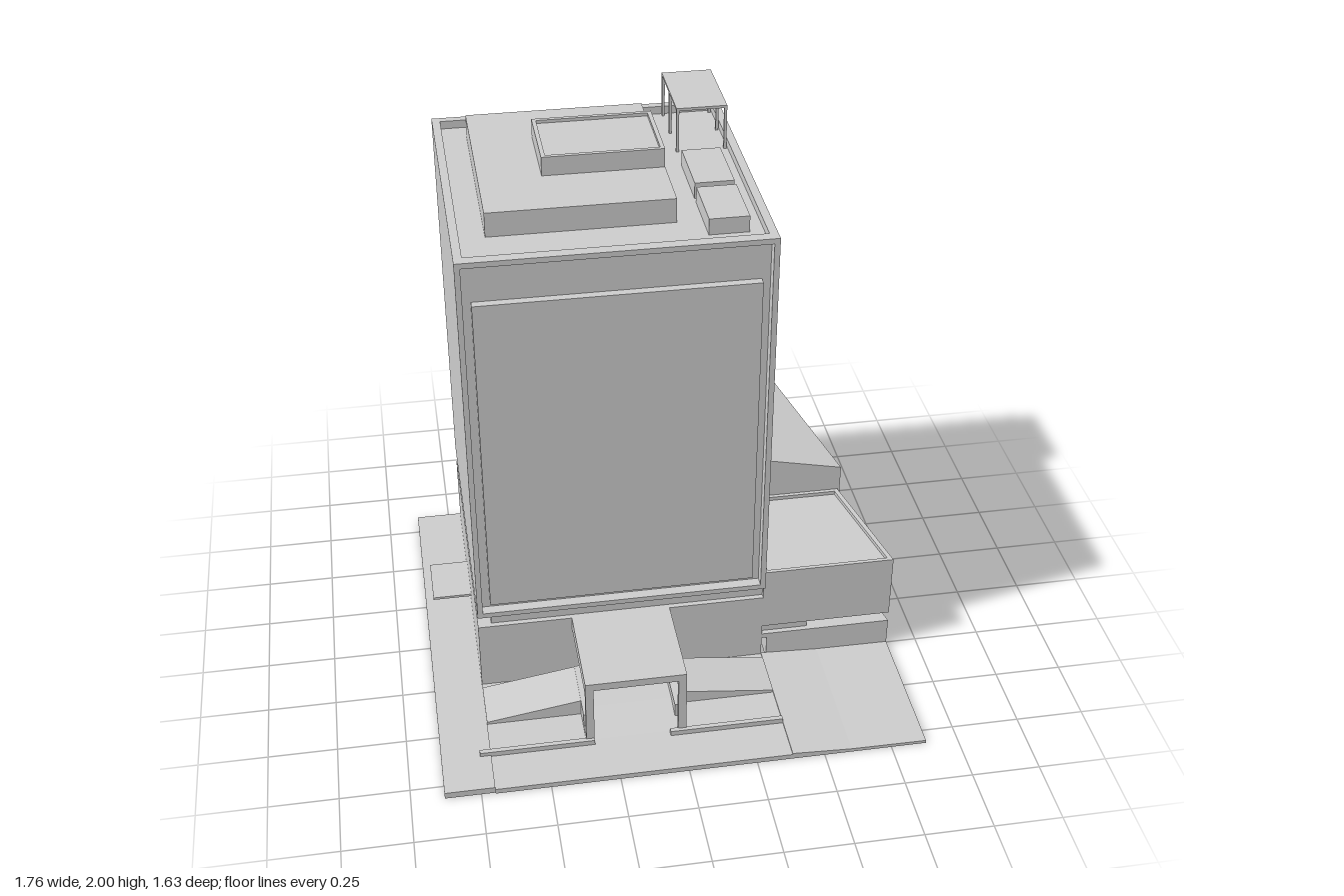
import * as THREE from 'three';

const material = new THREE.MeshStandardMaterial({ color: 0xcccccc, flatShading: true, side: THREE.DoubleSide });

export function createModel() {
  const model = new THREE.Group();

  const add = (name, geometry) => {
    const mesh = new THREE.Mesh(geometry, material);
    mesh.name = name;
    model.add(mesh);
    return mesh;
  };
  // Box given by its limits
  const box = (name, x0, x1, y0, y1, z0, z1) => {
    const g = new THREE.BoxGeometry(x1 - x0, y1 - y0, z1 - z0);
    g.translate((x0 + x1) / 2, (y0 + y1) / 2, (z0 + z1) / 2);
    return add(name, g);
  };
  const rect = (a0, a1, b0, b1) => [[a0, b0], [a1, b0], [a1, b1], [a0, b1]];
  const points = (list, s = 1) => list.map(([a, b]) => new THREE.Vector2(a, s * b));
  const extrude = (outline, hole, depth, s) => {
    const shape = new THREE.Shape(points(outline, s));
    if (hole) shape.holes.push(new THREE.Path(points(hole, s)));
    return new THREE.ExtrudeGeometry(shape, { depth, bevelEnabled: false });
  };
  // Upright prism from an [x, z] plan
  const prism = (name, plan, y0, y1, hole) =>
    add(name, extrude(plan, hole, y1 - y0, -1).rotateX(-Math.PI / 2).translate(0, y0, 0));
  // Prism along z from an [x, y] elevation
  const slice = (name, elevation, z0, z1, hole) =>
    add(name, extrude(elevation, hole, z1 - z0, 1).translate(0, 0, z0));

  // Tower body with parapet and framed front
  box('tower', -0.7, 0.38, 0.37, 1.83, -0.82, 0.25);
  prism('parapet', rect(-0.7, 0.38, -0.82, 0.26), 1.83, 1.86, rect(-0.67, 0.35, -0.79, 0.25));
  slice('facadeFrame', rect(-0.7, 0.38, 0.37, 1.86), 0.25, 0.29, rect(-0.68, 0.36, 0.39, 1.84));
  box('facadePanel', -0.65, 0.33, 0.42, 1.69, 0.25, 0.28);

  // Rooftop blocks with shallow rims
  const rimmed = (name, x0, x1, y1, z0, z1, rim) => {
    box(name, x0, x1, 1.83, y1 - rim, z0, z1);
    prism(name + 'Rim', rect(x0, x1, z0, z1), y1 - rim, y1,
      rect(x0 + 0.015, x1 - 0.015, z0 + 0.015, z1 - 0.015));
  };
  box('penthouse', -0.58, 0.07, 1.83, 1.92, -0.7, 0.07);
  rimmed('upperPenthouse', -0.36, 0.07, 1.99, -0.48, -0.17, 0.012);
  box('rearPlantBox', 0.16, 0.3, 1.83, 1.89, -0.35, -0.09);
  box('frontPlantBox', 0.16, 0.3, 1.83, 1.89, -0.06, 0.175);

  // Rooftop shelter on posts
  box('shelterRoof', 0.16, 0.345, 1.99, 2, -0.78, -0.46);
  for (const x of [0.16, 0.335])
    for (const z of [-0.78, -0.625, -0.47])
      box('shelterPost', x, x + 0.01, 1.83, 1.99, z, z + 0.01);

  // Hollow podium and the recessed neck under the tower
  box('neck', -0.65, 0.33, 0.3, 0.37, -0.77, 0.24);
  box('neckSide', 0.33, 0.38, 0.3, 0.37, -0.82, 0.24);
  box('podiumTop', -0.7, 0.38, 0.28, 0.3, -0.82, 0.26);
  box('podiumBackWall', -0.7, 0.38, 0, 0.28, -0.82, -0.8);
  box('podiumRightWall', -0.7, -0.68, 0, 0.28, -0.8, 0.26);
  box('podiumLeftWall', 0.36, 0.38, 0.12, 0.28, -0.8, 0.26);
  slice('podiumFrontWall', [[-0.7, 0], [-0.32, 0], [-0.32, 0.25], [-0.02, 0.25], [-0.02, 0],
    [0.38, 0], [0.38, 0.28], [-0.7, 0.28]], 0.24, 0.26);

  // Entrance recess
  box('entranceLintel', -0.32, -0.02, 0.19, 0.25, 0.18, 0.24);
  box('entranceBack', -0.32, -0.02, 0.05, 0.25, 0.08, 0.1);
  for (const x of [-0.32, -0.08]) box('entranceJamb', x, x + 0.06, 0.05, 0.19, 0.1, 0.22);
  for (let i = 0; i < 3; i++)
    box('entranceStep', -0.26, -0.08, 0.05, 0.08 + i * 0.02, 0.1, 0.22 - i * 0.04);

  // Annex base, open below, following the slanted side
  const edge = z => 0.65 + 0.23 * (z + 0.82) / 1.08;
  const plan = (x0, z0, z1, d = 0) => [[x0, z0], [edge(z0) - d, z0], [edge(z1) - d, z1], [x0, z1]];
  prism('annexBase', plan(0.4, -0.82, 0.26), 0, 0.1, plan(0.42, -0.8, 0.24, 0.02));
  prism('annexBaseTop', plan(0.38, -0.82, 0.26), 0.1, 0.12);
  box('annexCore', 0.38, 0.56, 0.12, 0.16, -0.8, 0.24);
  for (const [x, z] of [[0.58, 0.16], [0.65, 0.16], [0.79, 0.16], [0.65, -0.38], [0.6, -0.7]])
    add('annexColumn', new THREE.CylinderGeometry(0.02, 0.02, 0.04, 12).translate(x, 0.14, z));

  // Front annex with a sunken flat roof
  prism('frontAnnex', plan(0.38, -0.215, 0.26), 0.16, 0.405);
  prism('frontAnnexRim', plan(0.38, -0.215, 0.26), 0.405, 0.42, plan(0.395, -0.2, 0.245, 0.018));

  // Rear annex with a roof falling away from the tower
  const rear = prism('rearAnnex', [[0.38, -0.82], [0.65, -0.82], [0.79, -0.22], [0.38, -0.22]], 0.16, 0.6);
  const p = rear.geometry.attributes.position;
  for (let i = 0; i < p.count; i++)
    if (p.getY(i) > 0.4) p.setY(i, 0.61 - (p.getX(i) - 0.38) * 0.22);
  rear.geometry.computeVertexNormals();

  // Paving around the podium
  box('sidePaving', -0.88, -0.7, 0, 0.025, -0.82, 0.81);
  box('forecourt', -0.7, 0.38, 0, 0.02, 0.26, 0.815);
  slice('cornerPaving', [[0.38, 0], [0.88, 0], [0.88, 0.012], [0.6, 0.014], [0.38, 0.025]], 0.26, 0.815);
  box('leftKerb', -0.04, 0.38, 0.02, 0.04, 0.63, 0.648);
  box('rightKerb', -0.74, -0.32, 0.02, 0.04, 0.63, 0.648);

  // Raised landing with drive ramps on both sides
  slice('rightRamp', [[-0.7, 0.02], [-0.35, 0.02], [-0.35, 0.085], [-0.7, 0.03]], 0.29, 0.48);
  slice('leftRamp', [[0.02, 0.02], [0.38, 0.02], [0.38, 0.03], [0.02, 0.075]], 0.29, 0.48);
  box('landing', -0.35, 0.02, 0.02, 0.05, 0.1, 0.48);
  const slope = new THREE.Shape(points([[0.48, 0.02], [0.62, 0.02], [0.48, 0.05]]));
  add('landingSlope', new THREE.ExtrudeGeometry(slope, { depth: 0.37, bevelEnabled: false })
    .rotateY(-Math.PI / 2).translate(0.02, 0, 0));
  for (const x of [-0.35, -0.01])
    box('landingWall', x, x + 0.03, 0.02, 0.088, 0.29, 0.56);

  // Entrance canopy on two legs
  box('canopy', -0.35, 0.02, 0.27, 0.3, 0.26, 0.635);
  for (const x of [-0.35, -0.01]) {
    box('canopyBeam', x, x + 0.03, 0.245, 0.27, 0.26, 0.635);
    box('canopyLeg', x, x + 0.03, 0.02, 0.27, 0.615, 0.635);
  }

  // Side door canopy
  box('sideCanopy', -0.85, -0.7, 0.093, 0.103, -0.39, -0.18);

  return model;
}
